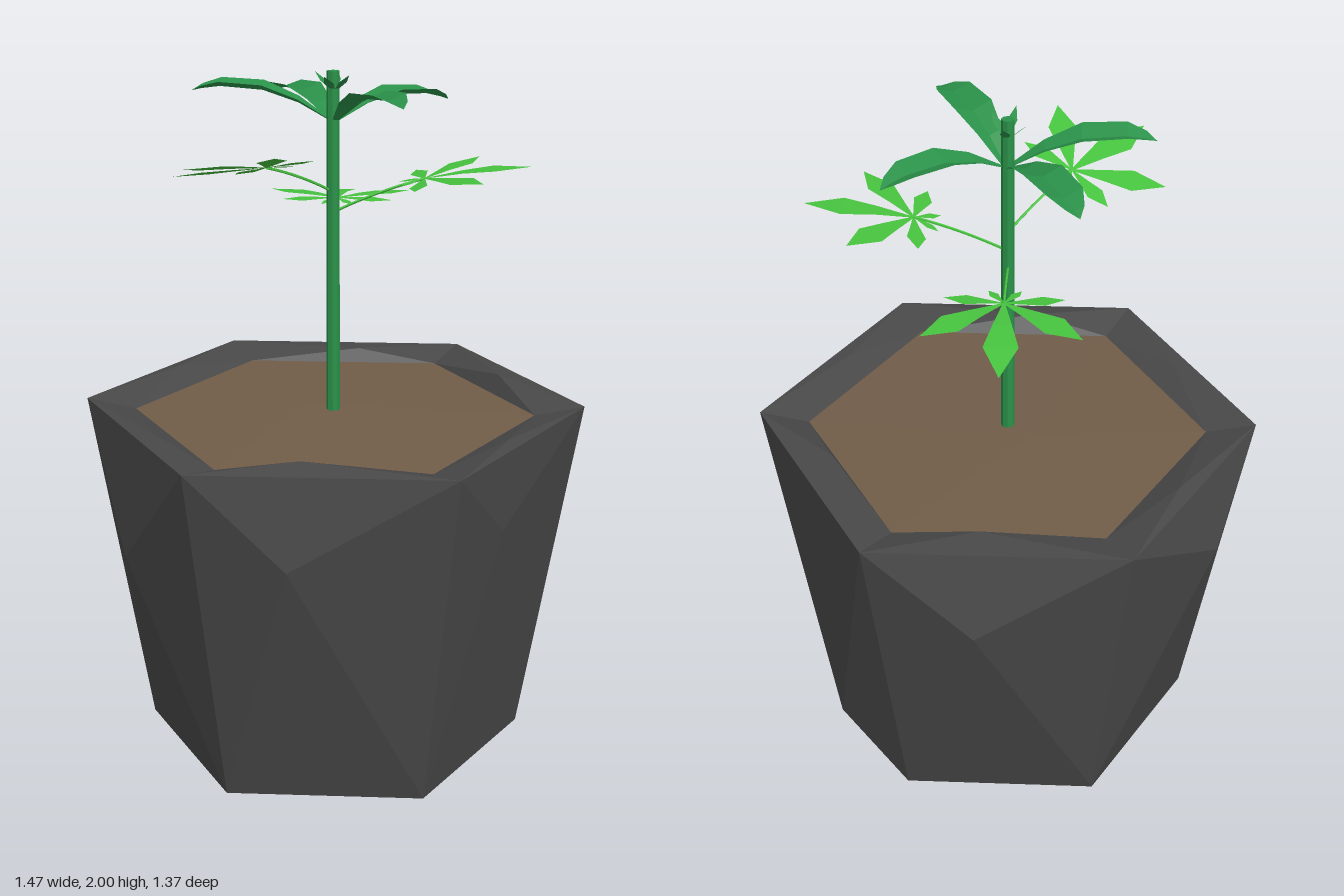
import * as THREE from 'three';

const CZ = 0.012; // shared centre line of pot and plant

const mat = (name, color, side = THREE.FrontSide) => {
  const m = new THREE.MeshStandardMaterial({ color, side, flatShading: true });
  m.name = name;
  return m;
};

function facets(name, points, material) {
  const g = new THREE.BufferGeometry();
  g.setAttribute('position', new THREE.Float32BufferAttribute(points.flat(), 3));
  g.computeVertexNormals();
  const mesh = new THREE.Mesh(g, material);
  mesh.name = name;
  return mesh;
}

// Triangles joining a closed ring of points to one centre point
const fan = (centre, ring) =>
  ring.flatMap((p, i) => [centre, p, ring[(i + 1) % ring.length]]);

const hexagon = (r, y) => Array.from({ length: 6 }, (_, i) => {
  const a = (i * Math.PI) / 3;
  return [r * Math.cos(a), y, r * Math.sin(a) + CZ];
});

// Blade swept along at(t, s): t from base to tip, s the signed half width
function blade(name, rows, at, material) {
  const pts = [];
  for (let i = 0; i + 1 < rows.length; i++) {
    const [t0, w0] = rows[i], [t1, w1] = rows[i + 1];
    const a = [-1, 0, 1].map((s) => at(t0, s * w0, s));
    const b = [-1, 0, 1].map((s) => at(t1, s * w1, s));
    for (let k = 0; k < 2; k++) {
      pts.push(a[k], a[k + 1], b[k]);
      if (w1 > 0) pts.push(a[k + 1], b[k + 1], b[k]);
    }
  }
  return facets(name, pts, material);
}

export function createModel() {
  const model = new THREE.Group();
  model.name = 'pottedPlant';
  const potMat = mat('charcoal', 0x484848);
  const soilMat = mat('soilBrown', 0x705c48);
  const darkGreen = mat('darkGreen', 0x2a9149, THREE.DoubleSide);
  const lightGreen = mat('lightGreen', 0x46c23e, THREE.DoubleSide);

  // Pot: every hexagon side is a fan around one chiselled point
  const bottom = hexagon(0.565, 0), top = hexagon(0.735, 1.03), inner = hexagon(0.59, 1.0);
  const sidePoints = [
    [0.49, 0.8, 0.42], [-0.09, 0.77, 0.683], [-0.585, 0.65, 0.31],
    [-0.62, 0.8, -0.29], [0.06, 0.78, -0.685], [0.5, 0.12, -0.3],
  ];
  const rimPoints = [
    [0.5, 1.033, 0.33], [-0.06, 1.047, 0.57], [-0.5, 1.035, 0.32],
    [-0.5, 1.038, -0.31], [0.05, 1.038, -0.53], [0.49, 1.052, -0.22],
  ];
  const walls = [], rim = [];
  for (let i = 0; i < 6; i++) {
    const j = (i + 1) % 6;
    walls.push(...fan(sidePoints[i], [bottom[j], bottom[i], top[i], top[j]]));
    rim.push(...fan(rimPoints[i], [top[j], top[i], inner[i], inner[j]]));
  }
  const pot = new THREE.Group();
  pot.name = 'pot';
  pot.add(
    facets('potWalls', walls, potMat),
    facets('potRim', rim, potMat),
    facets('potBase', fan([0, 0, CZ], bottom), potMat),
  );
  model.add(pot, facets('soil', fan([-0.08, 1.012, -0.04], [...inner].reverse()), soilMat));

  // Stem
  const stem = new THREE.Mesh(new THREE.CylinderGeometry(0.018, 0.02, 1, 8), darkGreen);
  stem.name = 'stem';
  stem.position.set(-0.003, 1.5, CZ);
  model.add(stem);

  // Crown: four large arching leaves, dished across their width
  const crownRows = [[0.03, 0.012], [0.25, 0.038], [0.5, 0.058], [0.8, 0.052], [0.93, 0.028], [1, 0]];
  const crown = [
    [-0.40, 0.015, 1.955], [0.2, 0.335, 1.955], [-0.2, -0.33, 1.905], [0.32, -0.2, 1.905],
  ];
  for (const [tx, tz, tipY] of crown) {
    const dx = tx, dz = tz - CZ, len = Math.hypot(dx, dz);
    model.add(blade('crownLeaf', crownRows, (t, w, s) => [
      dx * t - (dz / len) * w,
      1.865 + (tipY - 1.865) * t + 0.19 * t * (1 - t) + (s ? 0.35 * Math.abs(w) : 0) - 0.012,
      CZ + dz * t + (dx / len) * w,
    ], darkGreen));
  }

  // Bud: small young leaves around the stem tip
  const budRows = [[0, 0.006], [0.5, 0.014], [1, 0]];
  for (const [angle, length] of [[0.9, 0.06], [1.8, 0.085], [3.6, 0.05], [4.8, 0.05]]) {
    const c = Math.cos(angle), n = Math.sin(angle);
    model.add(blade('budLeaf', budRows, (t, w) => [
      c * (0.012 + length * t) - n * w,
      1.95 + 0.045 * t,
      CZ + n * (0.012 + length * t) + c * w,
    ], darkGreen));
  }

  // Fan leaves: seven flat leaflets on a thin curved stalk
  const leafletRows = [[0, 0.01], [0.35, 0.085], [0.65, 0.155], [1, 0]];
  const leaflets = [[0, 0.3], [53, 0.265], [-53, 0.265], [99, 0.165], [-99, 0.165], [148, 0.085], [-148, 0.085]];
  const fanLeaves = [
    { angle: 0, reach: 0.26, start: 1.6, hub: 1.7, slope: 0.22, bend: 0.33, roll: 0 },
    { angle: -90, reach: 0.26, start: 1.55, hub: 1.59, slope: 0.04, bend: 0.55, roll: 0 },
    { angle: 133, reach: 0.25, start: 1.66, hub: 1.76, slope: 0.14, bend: 0.1, roll: -0.25 },
  ];
  const rad = THREE.MathUtils.degToRad;
  for (const { angle, reach, start, hub, slope, bend, roll } of fanLeaves) {
    const leaf = new THREE.Group();
    leaf.name = 'fanLeaf';
    // local +x points outward from the stem
    leaf.position.set(-0.004, 0, CZ);
    leaf.rotation.y = -rad(angle);
    const curve = new THREE.QuadraticBezierCurve3(
      new THREE.Vector3(0, start, 0),
      new THREE.Vector3(reach * 0.5, (start + hub) / 2 + 0.015, 0),
      new THREE.Vector3(reach, hub, 0),
    );
    const stalk = new THREE.Mesh(new THREE.TubeGeometry(curve, 8, 0.004, 5), lightGreen);
    stalk.name = 'leafStalk';
    leaf.add(stalk);
    for (const [turn, length] of leaflets) {
      const c = Math.cos(rad(turn)), n = Math.sin(rad(turn));
      leaf.add(blade('leaflet', leafletRows, (t, w) => {
        const u = length * (c * t - n * w), v = length * (n * t + c * w);
        return [reach + u, hub + slope * u - bend * u * u + roll * v, v];
      }, lightGreen));
    }
    model.add(leaf);
  }
  return model;
}
